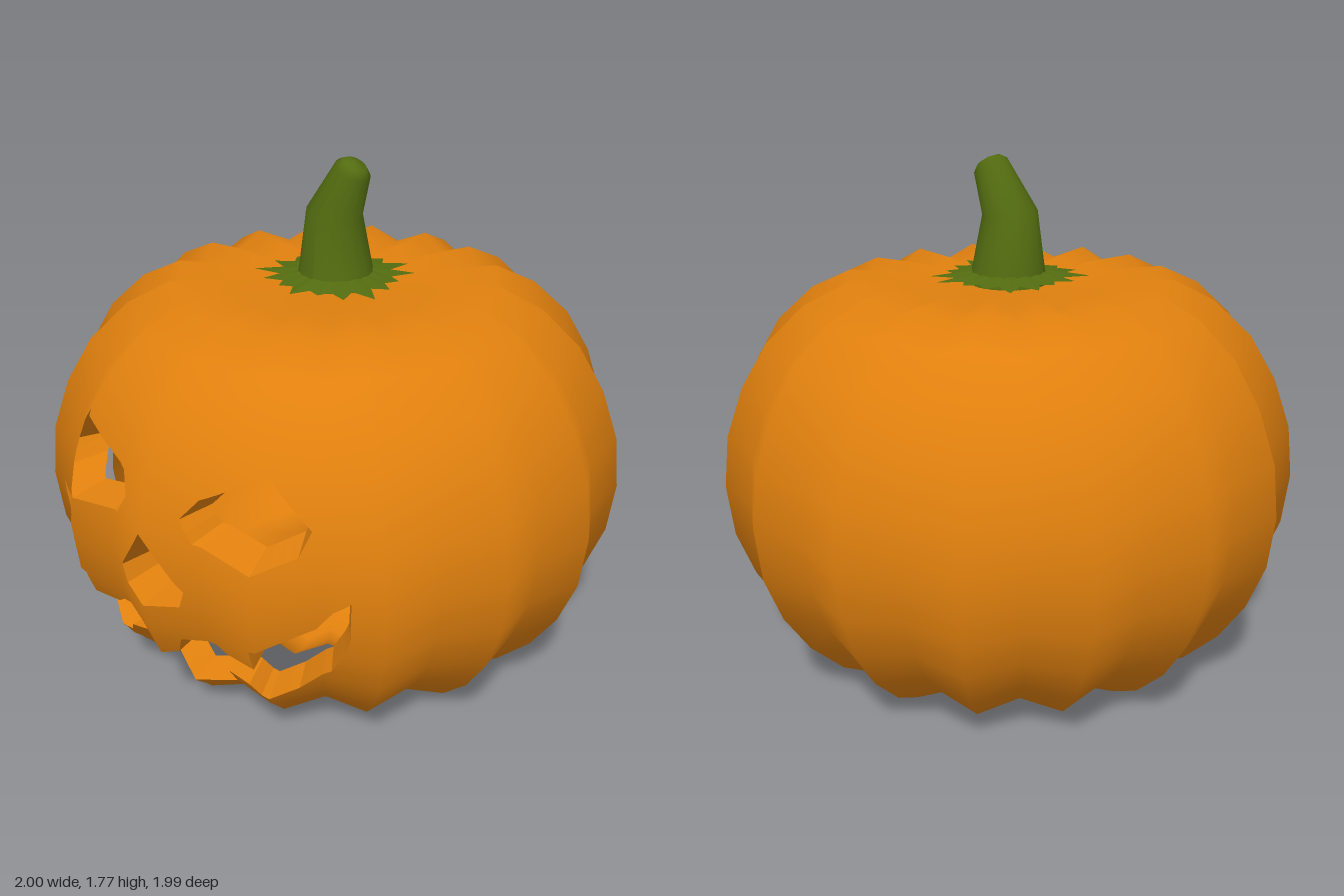
import * as THREE from 'three';

const COLS = 32, MID = 0.68, STEP = 0.25;
// Ridge profile [radius, height] from the underside dimple to the top
const PROFILE = [[0, .13], [.2, .11], [.36, .05], [.5, 0], [.6, .02], [.71, .08], [.83, .2], [.92, .34], [.98, .5],
  [1, .68], [.98, .86], [.92, 1.03], [.83, 1.18], [.7, 1.3], [.56, 1.365], [.36, 1.365], [.2, 1.345], [0, 1.335]];
const LAST = PROFILE.length - 1;
// Carved front region, in columns and profile rows
const PATCH = { a: 4, t0: 5, t1: 13 };

// Corner of the ribbed body: even columns are ridges, odd ones valleys
function corner(col, row) {
  const [r, y] = PROFILE[row], th = col * Math.PI * 2 / COLS;
  const k = col % 2 === 0 ? 1 : 1 - 0.06 * Math.min(1, r / 0.4);
  return new THREE.Vector3(Math.sin(th) * r * k, MID + (y - MID) * k, Math.cos(th) * r * k);
}

// Point on the faceted body at column a and row t
function surf(a, t, scale = 1) {
  const c = Math.floor(a), i = Math.min(LAST - 1, Math.max(0, Math.floor(t)));
  const low = corner(c, i).lerp(corner(c + 1, i), a - c);
  const high = corner(c, i + 1).lerp(corner(c + 1, i + 1), a - c);
  const p = low.lerp(high, t - i);
  return p.set(p.x * scale, MID + (p.y - MID) * scale, p.z * scale);
}

function rowNormal(i) {
  const p = PROFILE[Math.max(0, i - 1)], q = PROFILE[Math.min(LAST, i + 1)];
  return new THREE.Vector2(q[1] - p[1], p[0] - q[0]).normalize();
}

// Smooth normal, turned about the axis
function normalAt(a, t) {
  const i = Math.min(LAST - 1, Math.floor(t)), th = a * Math.PI * 2 / COLS;
  const n = rowNormal(i).lerp(rowNormal(i + 1), t - i).normalize();
  return new THREE.Vector3(Math.sin(th) * n.x, n.y, Math.cos(th) * n.x);
}

// Geometry from triangles in (column, row) space
function skin(tris, scale = 1, inward = false) {
  const pos = [], nor = [];
  for (const tri of tris) {
    for (const [a, t] of inward ? [tri[0], tri[2], tri[1]] : tri) {
      pos.push(...surf(a, t, scale).toArray());
      nor.push(...normalAt(a, t).multiplyScalar(inward ? -1 : 1).toArray());
    }
  }
  const g = new THREE.BufferGeometry();
  g.setAttribute('position', new THREE.Float32BufferAttribute(pos, 3));
  g.setAttribute('normal', new THREE.Float32BufferAttribute(nor, 3));
  return g;
}

function gridTris(a0, a1, t0, t1, skip = () => false) {
  const tris = [];
  for (let a = a0; a < a1; a++) {
    for (let t = t0; t < t1; t++) {
      if (skip(a, t)) continue;
      tris.push([[a, t], [a + 1, t], [a + 1, t + 1]], [[a, t], [a + 1, t + 1], [a, t + 1]]);
    }
  }
  return tris;
}

const dist = (p, q) => Math.hypot(p[0] - q[0], p[1] - q[1]);
const mix = (p, q, f) => [p[0] + (q[0] - p[0]) * f, p[1] + (q[1] - p[1]) * f];

// Bisect the longest edge until every edge is short
function refine(tri, out) {
  const len = [0, 1, 2].map(i => dist(tri[i], tri[(i + 1) % 3]));
  const k = len.indexOf(Math.max(...len));
  if (len[k] <= STEP) { out.push(tri); return; }
  const p = tri[k], q = tri[(k + 1) % 3], r = tri[(k + 2) % 3], m = mix(p, q, 0.5);
  refine([p, m, r], out);
  refine([m, q, r], out);
}

// Find the column and row under a point of the front elevation
function locate([x, y]) {
  let a = 0, t = 9;
  for (let i = 0; i < 80; i++) {
    const p = surf(a, t);
    a += (x - p.x) * 3;
    t = Math.min(PATCH.t1 - .02, Math.max(PATCH.t0 + .02, t + (y - p.y) * 3));
  }
  return [a, t];
}

// Side walls of one carved opening, narrowing inward
function wallGeometry(contour, centre, taper) {
  const pos = [];
  const inner = p => new THREE.Vector3(
    centre[0] * .95 + (p.x - centre[0]) * taper, centre[1] + (p.y - centre[1]) * taper, p.z * .87);
  contour.forEach((p, i) => {
    const q = contour[(i + 1) % contour.length];
    let n = 1;
    while (dist(p, q) / n > STEP) n *= 2;
    for (let j = 0; j < n; j++) {
      const A = surf(...mix(p, q, j / n)), B = surf(...mix(p, q, (j + 1) / n));
      const C = inner(A), D = inner(B);
      for (const v of [A, B, C, B, D, C]) pos.push(v.x, v.y, v.z);
    }
  });
  const g = new THREE.BufferGeometry();
  g.setAttribute('position', new THREE.Float32BufferAttribute(pos, 3));
  g.computeVertexNormals();
  return g;
}

const mirror = pts => pts.map(([x, y]) => [-x, y]).reverse();

export function createModel() {
  const orange = new THREE.MeshStandardMaterial({ color: 0xe0800e });
  orange.name = 'pumpkin orange';
  const green = new THREE.MeshStandardMaterial({ color: 0x536c10, side: THREE.DoubleSide });
  green.name = 'stem green';
  const white = new THREE.MeshStandardMaterial({ color: 0xf2f2f2 });
  white.name = 'white';
  const model = new THREE.Group();
  model.name = 'carvedPumpkin';
  const add = (name, geometry, material) => {
    const mesh = new THREE.Mesh(geometry, material);
    mesh.name = name;
    model.add(mesh);
  };

  // Body shell without the carved front
  add('body', skin(gridTris(-PATCH.a, COLS - PATCH.a, 0, LAST,
    (a, t) => a < PATCH.a && t >= PATCH.t0 && t < PATCH.t1)), orange);

  // Outlines of the openings, counter-clockwise in the front elevation
  const rightEye = [[-.36, 1.07], [-.485, .91], [-.47, .84], [-.37, .79], [-.155, .82], [-.11, .89], [-.155, .95]];
  const nose = [[0, .83], [-.13, .65], [-.11, .59], [0, .575], [.11, .59], [.13, .65]];
  const upperLip = [[.61, .7], [.56, .66], [.51, .59], [.35, .51], [.345, .425], [.235, .43], [.2, .455],
    [.085, .445], [.06, .38]];
  const lowerLip = [[0, .155], [.16, .17], [.175, .295], [.26, .28], [.29, .235], [.41, .295], [.52, .4], [.6, .55]];
  const mouth = [...upperLip, [0, .36], ...mirror(upperLip), ...mirror(lowerLip.slice(1)), ...lowerLip];
  const openings = [
    ['rightEyeWall', rightEye, [-.3, .92], .78],
    ['leftEyeWall', mirror(rightEye), [.3, .92], .78],
    ['noseWall', nose, [0, .68], .78],
    ['mouthWall', mouth, [0, .45], .88],
  ];

  // Carved front: a sheet with holes, refined to follow the ribs
  const { a, t0, t1 } = PATCH;
  const sheet = [[-a, t0], [a, t0], [a, t1], [-a, t1]].map(p => new THREE.Vector2(...p));
  const holes = [];
  for (const [name, pts, centre, taper] of openings) {
    const contour = pts.map(locate);
    holes.push(contour.map(p => new THREE.Vector2(...p)).reverse());
    add(name, wallGeometry(contour, centre, taper), orange);
  }
  const flat = [sheet, ...holes].flat().map(v => [v.x, v.y]);
  const tris = [];
  for (const f of THREE.ShapeUtils.triangulateShape(sheet, holes)) {
    const [p, q, r] = f.map(i => flat[i]);
    const area = (q[0] - p[0]) * (r[1] - p[1]) - (q[1] - p[1]) * (r[0] - p[0]);
    refine(area > 0 ? [p, q, r] : [p, r, q], tris);
  }
  add('face', skin(tris), orange);

  // Hollow inside and the pale panel behind one eye
  add('innerWall', skin(gridTris(0, COLS, 0, LAST), .8, true), orange);
  add('eyePanel', skin(gridTris(-3.9, -.8, 9.7, 11.8), .8), white);

  // Stem: rings of [centre x, height, radius, tilt]
  const rings = [[0, 1.34, .135, 0], [0, 1.4, .124, 0], [-.005, 1.58, .095, .12], [.07, 1.73, .062, .5],
    [.078, 1.75, .04, .5], [.082, 1.757, .001, .5]];
  const sides = 16;
  const stem = new THREE.CylinderGeometry(1, 1, 1, sides, rings.length - 1, true);
  const sp = stem.attributes.position;
  for (let i = 0; i < sp.count; i++) {
    const [cx, y, r, tilt] = rings[rings.length - 1 - Math.floor(i / (sides + 1))];
    const x = sp.getX(i) * r;
    sp.setXYZ(i, cx + x * Math.cos(tilt), y - x * Math.sin(tilt), sp.getZ(i) * r);
  }
  stem.computeVertexNormals();
  add('stem', stem, green);

  // Ragged leaf collar round the stem
  const points = 17;
  const collar = new THREE.CylinderGeometry(.1, .2, .02, points * 2, 1, true);
  const cp = collar.attributes.position;
  for (let i = points * 2 + 1; i < cp.count; i++) {
    const k = (i - points * 2 - 1) % (points * 2);
    const r = k % 2 ? .19 : .25 + .03 * Math.sin(k * 2.3);
    cp.setX(i, cp.getX(i) / .2 * r);
    cp.setZ(i, cp.getZ(i) / .2 * r);
  }
  collar.translate(0, 1.376, 0);
  collar.computeVertexNormals();
  add('leafCollar', collar, green);

  return model;
}
